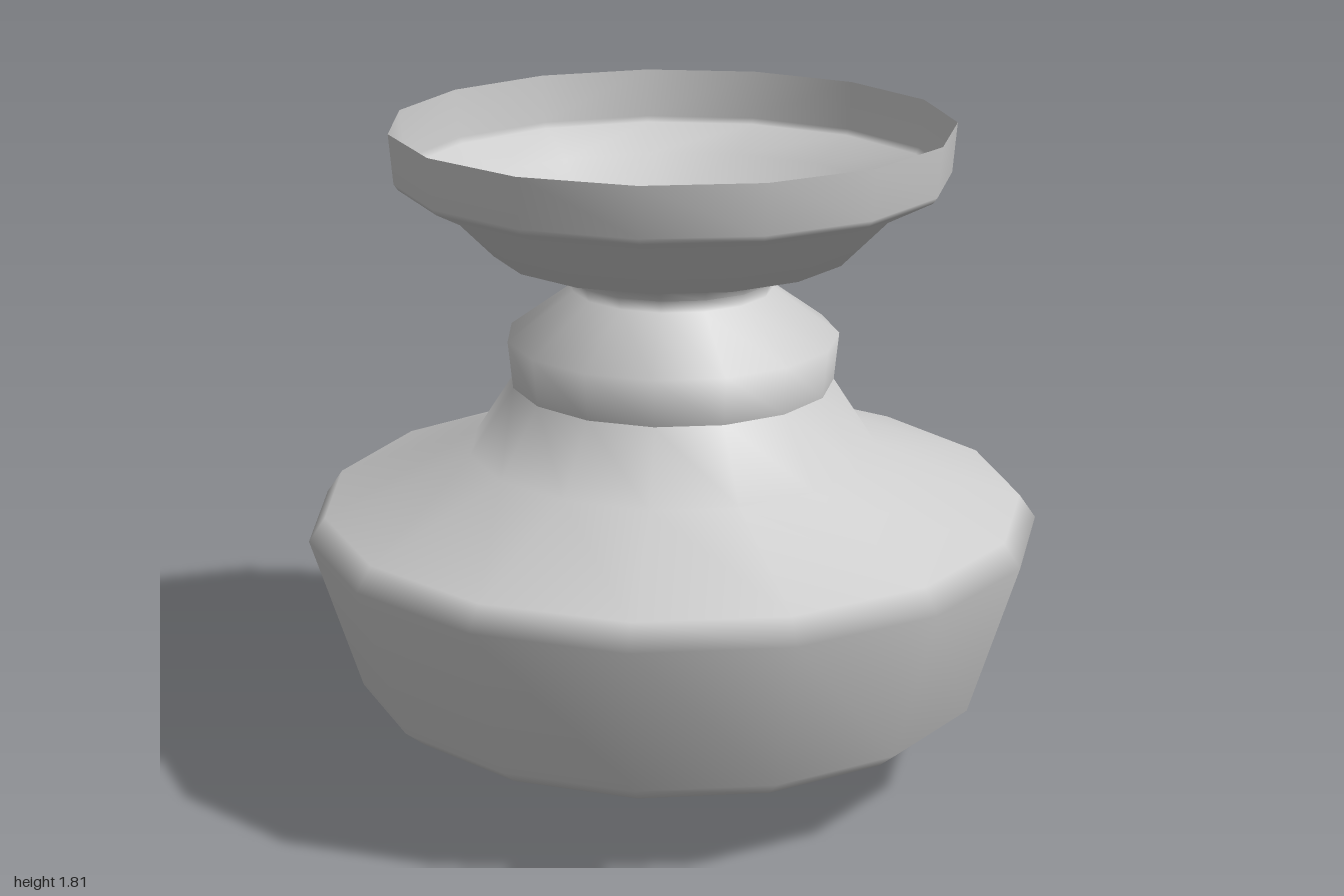
import * as THREE from 'three';
import { mergeVertices } from 'three/addons/utils/BufferGeometryUtils.js';

const SIDES = 15;
const material = new THREE.MeshStandardMaterial({ color: 0xcccccc, side: THREE.DoubleSide });

// Thin turned wall from [radius, height] pairs, smooth-shaded across the facets
function turned(name, profile) {
  const points = profile.map(([r, y]) => new THREE.Vector2(r, y));
  let geometry = new THREE.LatheGeometry(points, SIDES, Math.PI / 2);
  geometry.deleteAttribute('uv');
  geometry.deleteAttribute('normal');
  geometry = mergeVertices(geometry);
  geometry.computeVertexNormals();
  const mesh = new THREE.Mesh(geometry, material);
  mesh.name = name;
  return mesh;
}

export function createModel() {
  const vase = new THREE.Group();
  vase.name = 'vase';

  // Rounded base, flared belly and sloping shoulder
  vase.add(turned('body', [
    [0, 0], [0.22, 0.02], [0.445, 0.064], [0.815, 0.223], [0.872, 0.27],
    [1.0055, 0.70], [0.96, 0.765], [0.56, 0.915], [0.44, 1.10],
  ]));

  // Collar ring between the shoulder and the neck
  vase.add(turned('collar', [
    [0.44, 1.10], [0.453, 1.23], [0.272, 1.36], [0.281, 1.393],
  ]));

  // Open funnel with an upright rim
  vase.add(turned('funnel', [
    [0.281, 1.393], [0.29, 1.42], [0.485, 1.468], [0.613, 1.597],
    [0.735, 1.66], [0.746, 1.676], [0.757, 1.81],
  ]));

  // An odd number of sides sits slightly off its axis
  vase.position.x = -0.011;
  const model = new THREE.Group();
  model.add(vase);
  return model;
}
